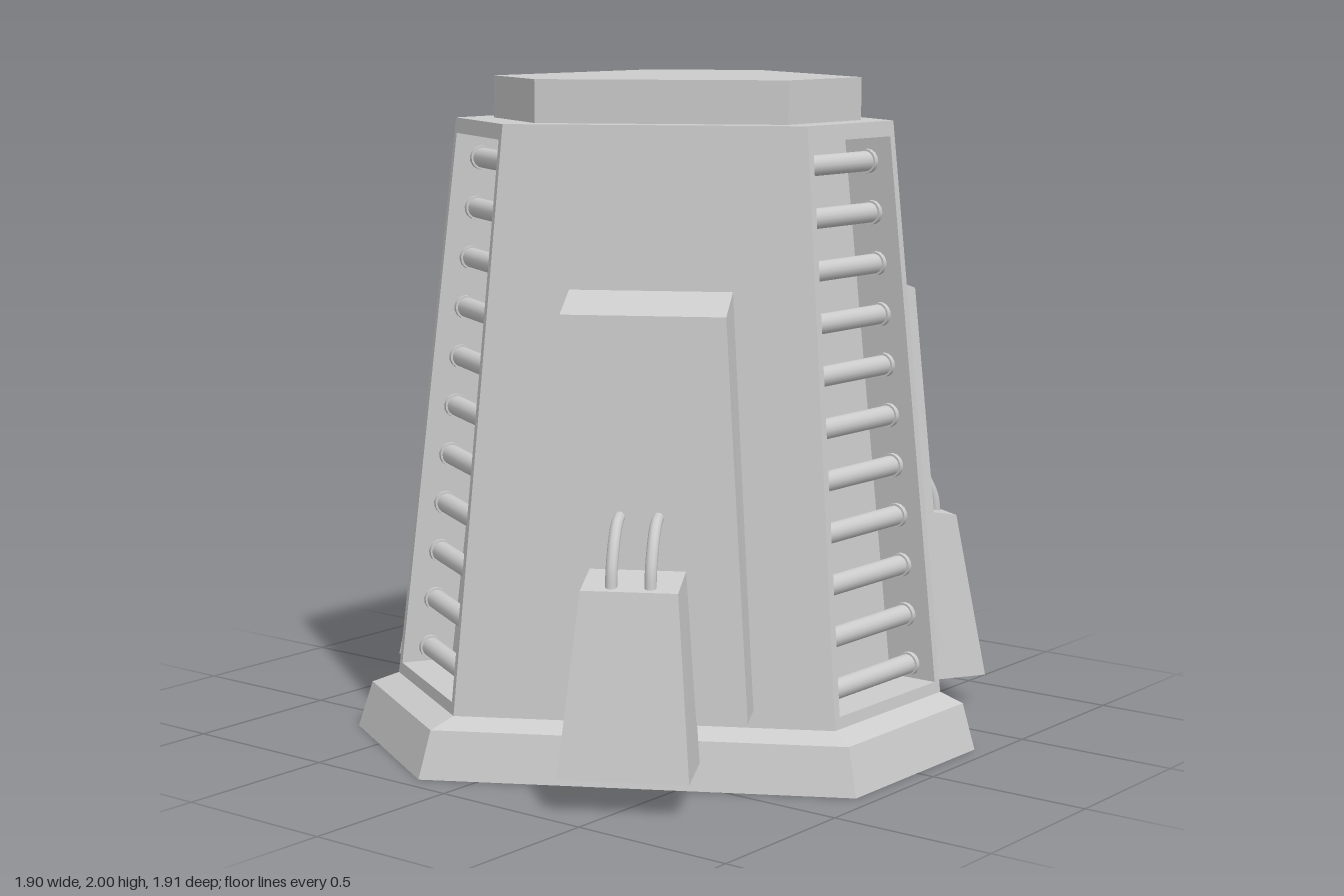
import * as THREE from 'three';

const grey = new THREE.MeshStandardMaterial({ color: 0xcccccc, side: THREE.DoubleSide });
const V = (x, y, z) => new THREE.Vector3(x, y, z);

// Six-sided plan: three narrow faces alternating with three wide ones
const CX = 0.125;
const PLAN = [[0.82, -0.315], [0.82, 0.315], [-0.275, 0.945], [-0.82, 0.635], [-0.82, -0.635], [-0.275, -0.945]];
const BODY_LOW = 0.17, BODY_HIGH = 1.875;
const lerp = THREE.MathUtils.lerp;
const bodyT = (y) => (y - BODY_LOW) / (BODY_HIGH - BODY_LOW);
const bodyScale = (y) => lerp(0.878, 0.689, bodyT(y));
const hexRing = (s, y) => PLAN.map(([x, z]) => V(CX + x * s, y, z * s)).reverse();

// Flat-sided skin through rings of points, with optional end faces
function loft(name, rings, capStart, capEnd) {
  const p = [];
  const tri = (...vs) => vs.forEach((v) => p.push(v.x, v.y, v.z));
  const cap = (r) => { for (let i = 1; i < r.length - 1; i++) tri(r[0], r[i], r[i + 1]); };
  for (let k = 0; k < rings.length - 1; k++) {
    const a = rings[k], b = rings[k + 1];
    a.forEach((_, i) => {
      const j = (i + 1) % a.length;
      tri(a[i], a[j], b[j]);
      tri(a[i], b[j], b[i]);
    });
  }
  if (capStart) cap([...rings[0]].reverse());
  if (capEnd) cap(rings[rings.length - 1]);
  const g = new THREE.BufferGeometry();
  g.setAttribute('position', new THREE.Float32BufferAttribute(p, 3));
  g.computeVertexNormals();
  const m = new THREE.Mesh(g, grey);
  m.name = name;
  return m;
}

// Coordinates on a sloping body face: u along it, y up, out away from it
function makeFace(i) {
  const [ax, az] = PLAN[i], [bx, bz] = PLAN[(i + 1) % 6];
  const length = Math.hypot(bx - ax, bz - az);
  const along = V((bx - ax) / length, 0, (bz - az) / length);
  const normal = V(0, 1, 0).cross(along);
  const at = (u, y, out = 0) => {
    const s = bodyScale(y);
    return V(CX + (ax + bx) / 2 * s, y, (az + bz) / 2 * s).addScaledVector(along, u).addScaledVector(normal, out);
  };
  const half = (y) => length / 2 * bodyScale(y);
  // Upright four-cornered ring lying parallel to the face
  const ring = (uLow, yLow, uHigh, yHigh, out) =>
    [at(uLow, yLow, out), at(-uLow, yLow, out), at(-uHigh, yHigh, out), at(uHigh, yHigh, out)];
  const outline = ring(half(BODY_LOW), BODY_LOW, half(BODY_HIGH), BODY_HIGH, 0);
  return { along, at, ring, outline };
}

function cylinder(name, centre, axis, radius, length) {
  const m = new THREE.Mesh(new THREE.CylinderGeometry(radius, radius, length, 16), grey);
  m.name = name;
  m.position.copy(centre);
  m.quaternion.setFromUnitVectors(V(0, 1, 0), axis);
  return m;
}

// Narrow face: framed recess crossed by eleven bars
function ladderBay(face) {
  const g = new THREE.Group();
  g.name = 'ladderBay';
  const low = 0.205, high = 1.83, uLow = 0.25, uHigh = 0.195;
  g.add(loft('recess', [
    face.outline,
    face.ring(uLow, low, uHigh, high, 0),
    face.ring(uLow, low, uHigh, high, -0.16),
  ], false, true));
  for (let k = 0; k < 11; k++) {
    const y = 0.25 + k * 0.1505;
    const w = lerp(uLow, uHigh, (y - low) / (high - low));
    g.add(cylinder('rung', face.at(0, y, -0.085), face.along, 0.03, 2 * w));
    for (const side of [-1, 1]) {
      g.add(cylinder('rungCollar', face.at(side * (w - 0.003), y, -0.085), face.along, 0.036, 0.026));
    }
  }
  return g;
}

// Wide face: raised panel, tapered foot box and two hoses
function panelSide(face) {
  const g = new THREE.Group();
  g.name = 'panelSide';
  g.add(loft('wall', [face.outline], false, true));
  g.add(loft('raisedPanel', [
    face.ring(0.32, 0.22, 0.235, 1.42, -0.03),
    face.ring(0.32, 0.22, 0.235, 1.355, 0.145),
  ], true, true));

  const boxRing = (u, yFront, front, yBack, back) =>
    [face.at(u, yFront, front), face.at(-u, yFront, front), face.at(-u, yBack, back), face.at(u, yBack, back)];
  g.add(loft('footBox', [
    boxRing(0.185, 0.1, 0.35, 0.1, 0.13),
    boxRing(0.137, 0.615, 0.3, 0.645, 0.138),
  ], true, true));

  for (const u of [-0.055, 0.055]) {
    const path = new THREE.CatmullRomCurve3([
      face.at(u, 0.6, 0.268), face.at(u, 0.67, 0.262), face.at(u, 0.74, 0.228),
      face.at(u, 0.78, 0.185), face.at(u, 0.793, 0.13),
    ]);
    const hose = new THREE.Mesh(new THREE.TubeGeometry(path, 20, 0.017, 10), grey);
    hose.name = 'hose';
    g.add(hose);
  }
  return g;
}

export function createModel() {
  const model = new THREE.Group();
  model.name = 'tower';

  // Plinth, open underneath, with a bevelled shoulder
  model.add(loft('plinth', [hexRing(1, 0), hexRing(0.957, 0.14), hexRing(bodyScale(BODY_LOW), BODY_LOW)]));

  // Six body faces
  for (let i = 0; i < 6; i++) {
    const face = makeFace(i);
    model.add(i % 2 === 0 ? ladderBay(face) : panelSide(face));
  }

  // Roof ledge and raised cap
  model.add(loft('roofCap', [
    hexRing(bodyScale(BODY_HIGH), BODY_HIGH), hexRing(0.579, BODY_HIGH), hexRing(0.579, 2),
  ], false, true));
  return model;
}
